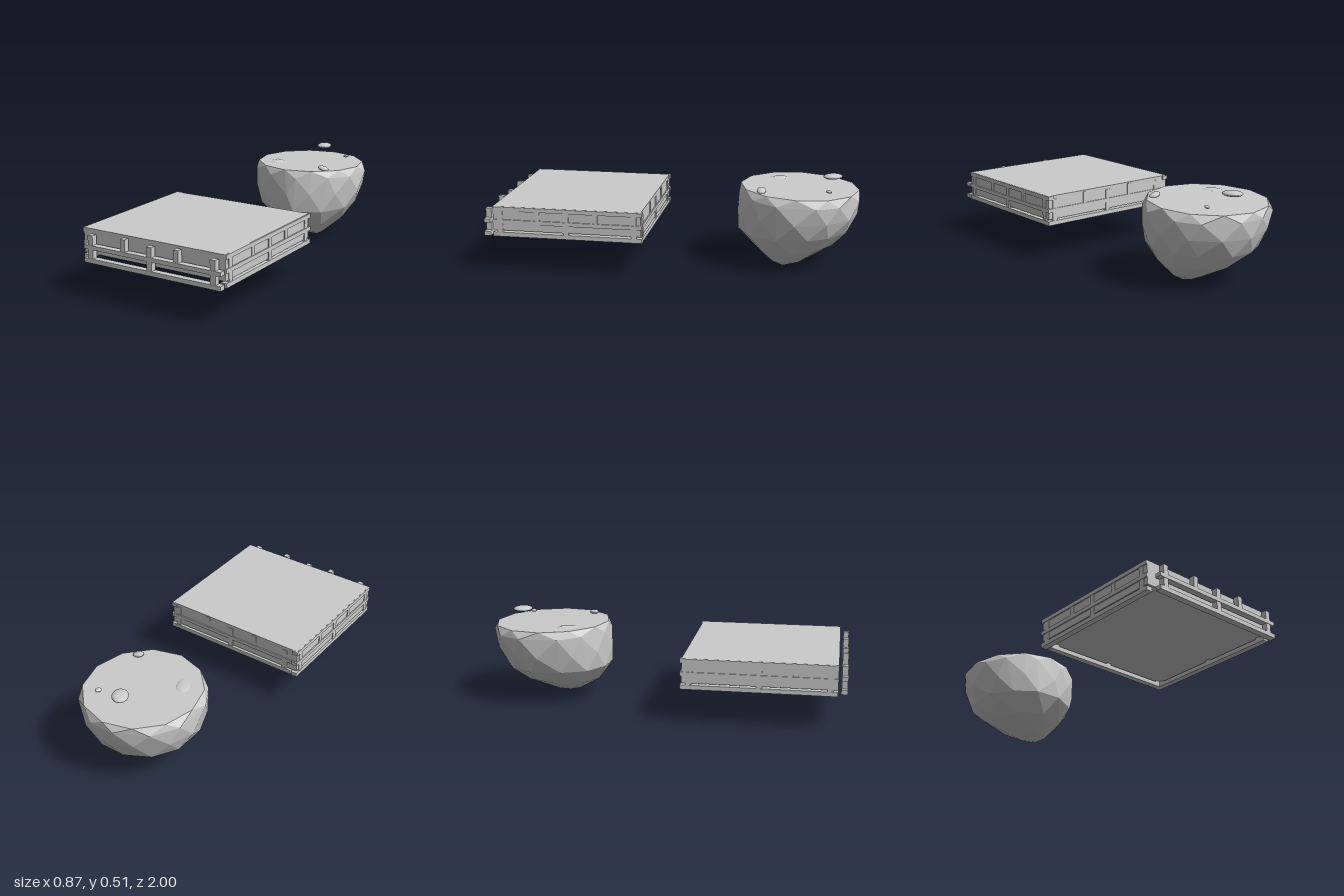
import * as THREE from 'three';
import { ConvexGeometry } from 'three/addons/geometries/ConvexGeometry.js';

const smooth = new THREE.MeshStandardMaterial({ color: 0xcccccc });
const faceted = new THREE.MeshStandardMaterial({ color: 0xcccccc, flatShading: true });

// Box given by its minimum and maximum on each axis
function box(name, [x0, x1], [y0, y1], [z0, z1]) {
  const mesh = new THREE.Mesh(new THREE.BoxGeometry(x1 - x0, y1 - y0, z1 - z0), smooth);
  mesh.name = name;
  mesh.position.set((x0 + x1) / 2, (y0 + y1) / 2, (z0 + z1) / 2);
  return mesh;
}

// Fence running along x, centred in depth, with tall and short posts
function fence(name, topRail) {
  const group = new THREE.Group();
  group.name = name;
  const t = 0.0175;
  const span = [-0.39, 0.43];
  group.add(box('bottomRail', span, [0.195, 0.219], [-t, t]));
  group.add(box('middleRail', span, [0.267, 0.289], [-t, t]));
  if (topRail) group.add(box('topRail', span, [0.337, 0.359], [-t, t]));
  for (const x of [-0.35, 0.015, 0.385])
    group.add(box('tallPost', [x - 0.015, x + 0.015], [0.2, 0.341], [-t + 0.002, t - 0.002]));
  for (const x of [-0.145, 0.175])
    group.add(box('shortPost', [x - 0.014, x + 0.014], [0.28, 0.353], [-t + 0.002, t - 0.002]));
  return group;
}

function createPlatform() {
  const group = new THREE.Group();
  group.name = 'platform';
  group.add(box('deck', [-0.428, 0.425], [0.228, 0.36], [0.138, 0.95]));

  const front = fence('frontFence', false);
  front.position.z = 0.9825;
  const back = fence('backFence', false);
  back.position.z = 0.1495;
  group.add(front, back);

  // Side fences share the front pattern, turned a quarter
  for (const [name, x] of [['leftFence', 0.4145], ['rightFence', -0.4165]]) {
    const side = fence(name, true);
    side.rotation.y = Math.PI / 2;
    side.position.set(x, 0, 0.56);
    group.add(side);
  }
  return group;
}

function createRock() {
  let seed = 7;
  const random = () => (seed = (seed * 16807) % 2147483647) / 2147483647;
  // Rings: height, centre x, centre z, radius x, radius z, jitter
  const rings = [
    [0.435, 0, -0.667, 0.312, 0.324, 0],
    [0.395, 0, -0.667, 0.335, 0.335, 0.012],
    [0.3, 0.002, -0.657, 0.325, 0.329, 0.02],
    [0.2, 0.005, -0.634, 0.29, 0.302, 0.02],
    [0.11, 0.025, -0.63, 0.2, 0.228, 0.02],
    [0.03, 0.07, -0.605, 0.075, 0.08, 0.01],
  ];
  const points = [new THREE.Vector3(0.09, 0, -0.59)];
  rings.forEach(([y, cx, cz, rx, rz, jitter], i) => {
    const sides = i < 4 ? 12 : 8;
    for (let k = 0; k < sides; k++) {
      const shift = i === 0 ? 0 : (random() - 0.5) * 0.3;
      const a = (k + (i % 2) * 0.5 + shift) / sides * Math.PI * 2;
      const x = cx + rx * Math.cos(a), z = cz + rz * Math.sin(a);
      // The flat top tilts slightly up towards the front
      const tilt = i < 2 ? 0.027 * (z + 0.667) : 0;
      points.push(new THREE.Vector3(x, y + tilt + (random() - 0.5) * jitter, z));
    }
  });
  const mesh = new THREE.Mesh(new ConvexGeometry(points), faceted);
  mesh.name = 'rock';
  return mesh;
}

// Flattened stones on and above the rock: position, radii, turn and lean
function createPebbles() {
  const group = new THREE.Group();
  group.name = 'pebbles';
  const stones = [
    [[0, 0.496, -0.845], [0.043, 0.016, 0.055], 0.5, 0.05],
    [[-0.163, 0.43, -0.537], [0.045, 0.015, 0.068], 0.5, 0.06],
    [[0.16, 0.45, -0.83], [0.013, 0.008, 0.018], -0.5, 0.3],
    [[0.188, 0.449, -0.473], [0.033, 0.013, 0.025], 0.1, -0.25],
  ];
  for (const [p, s, turn, lean] of stones) {
    const mesh = new THREE.Mesh(new THREE.SphereGeometry(1, 14, 9), smooth);
    mesh.name = 'pebble';
    mesh.position.set(...p);
    mesh.scale.set(...s);
    mesh.rotation.set(0, turn, lean, 'YXZ');
    group.add(mesh);
  }
  return group;
}

export function createModel() {
  const model = new THREE.Group();
  model.name = 'rockAndPlatform';
  model.add(createPlatform(), createRock(), createPebbles());
  return model;
}
